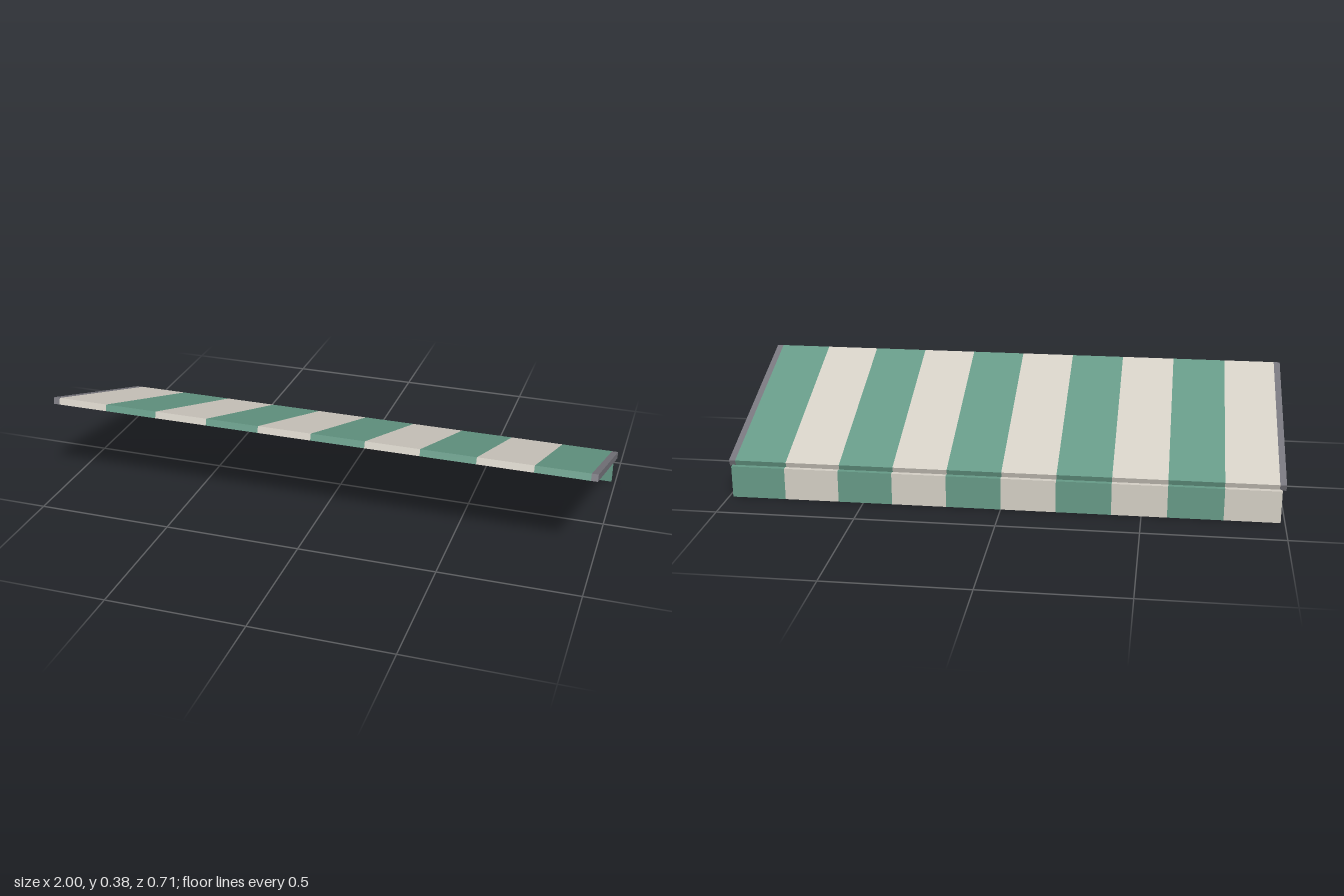
import * as THREE from 'three';

export function createModel() {
  const mat = (name, color) => {
    const m = new THREE.MeshStandardMaterial({ color });
    m.name = name;
    return m;
  };
  const cream = mat('cream cloth', 0xd4cfc5);
  const green = mat('green cloth', 0x669a87);
  const grey = mat('grey frame', 0x77767d);

  const model = new THREE.Group();
  model.name = 'awning';

  const box = (parent, name, material, size, position) => {
    const mesh = new THREE.Mesh(new THREE.BoxGeometry(...size), material);
    mesh.name = name;
    mesh.position.set(...position);
    parent.add(mesh);
  };

  // Sloping canopy, high at the front and low at the back
  const canopy = new THREE.Group();
  canopy.name = 'canopy';
  canopy.position.set(0, 0.244, 0.011);
  canopy.rotation.x = -THREE.MathUtils.degToRad(20);
  model.add(canopy);

  // Hanging strip below the low edge
  const valance = new THREE.Group();
  valance.name = 'valance';
  valance.position.set(0, 0.059, -0.344);
  model.add(valance);

  // Alternating cloth stripes; the canopy's outer ones stop at the rails
  const count = 10, half = 0.985, railInner = 0.977;
  const width = (2 * half) / count;
  for (let i = 0; i < count; i++) {
    const x0 = -half + i * width, x1 = x0 + width;
    const material = i % 2 ? green : cream;
    const a = Math.max(x0, -railInner), b = Math.min(x1, railInner);
    box(canopy, 'canopyStripe', material, [b - a, 0.0245, 0.718], [(a + b) / 2, 0, 0]);
    box(valance, 'valanceStripe', material, [width, 0.118, 0.018], [(x0 + x1) / 2, 0, 0]);
  }

  // Side rails
  for (const side of [-1, 1]) {
    box(canopy, 'sideRail', grey, [1 - railInner, 0.0245, 0.718], [side * (1 + railInner) / 2, 0, 0]);
  }
  return model;
}
